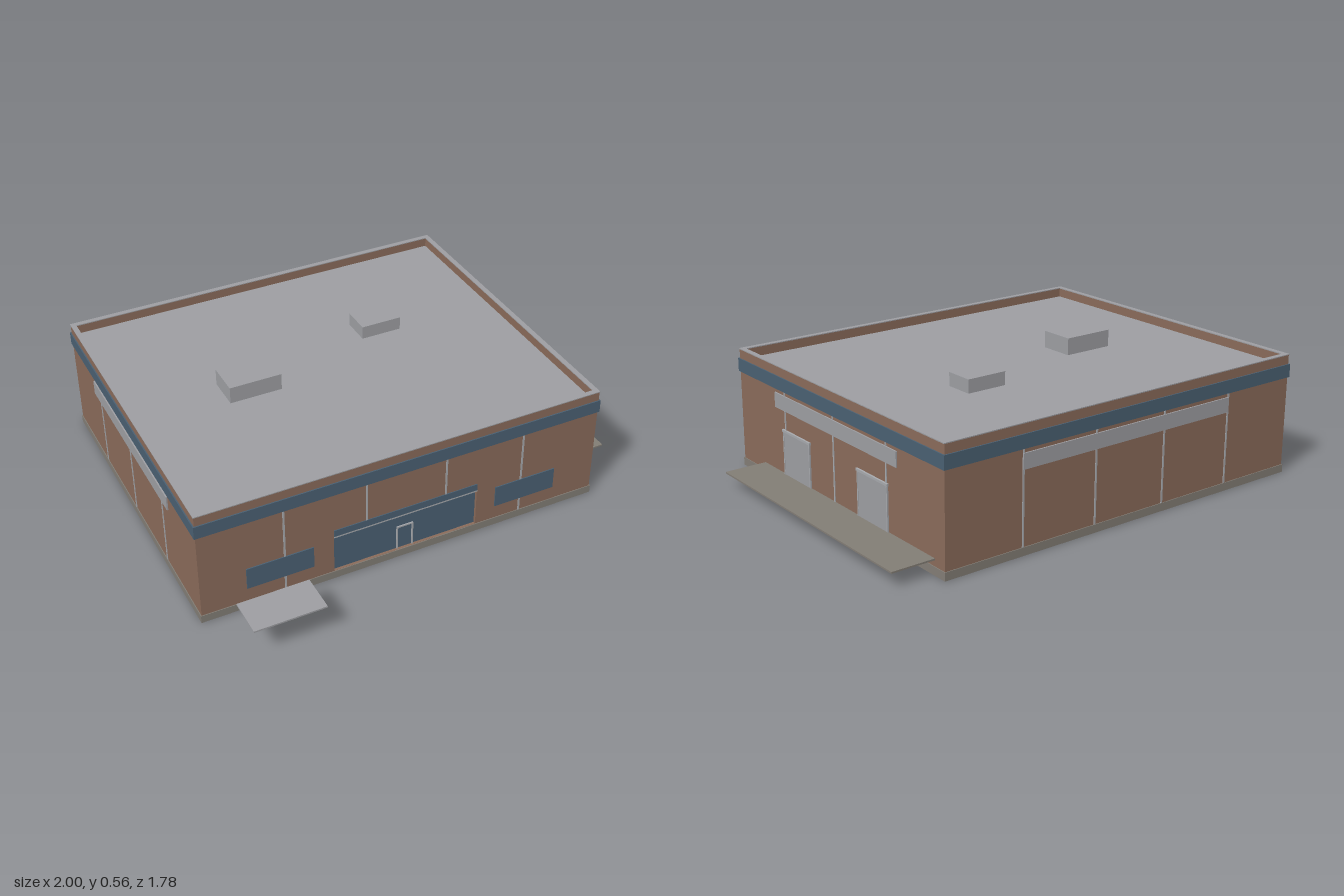
import * as THREE from 'three';

const mat = (name, color) => {
  const m = new THREE.MeshStandardMaterial({ color });
  m.name = name;
  return m;
};

export function createModel() {
  const brick = mat('brick brown', 0x8a6b5a);
  const blue = mat('slate blue', 0x4a6072);
  const grey = mat('light grey', 0x9d9ea2);
  const trim = mat('pale trim', 0xa6a8ac);
  const concrete = mat('concrete', 0x827d75);

  const model = new THREE.Group();
  model.name = 'warehouseStore';

  // Box given by its limits on each axis
  const box = (name, m, x0, x1, y0, y1, z0, z1) => {
    const mesh = new THREE.Mesh(new THREE.BoxGeometry(x1 - x0, y1 - y0, z1 - z0), m);
    mesh.position.set((x0 + x1) / 2, (y0 + y1) / 2, (z0 + z1) / 2);
    mesh.name = name;
    model.add(mesh);
    return mesh;
  };

  // Footprint and heights
  const L = -0.995, R = 0.808, B = -0.887, F = 0.597, T = 0.02, H = 0.53;

  // Rectangular band running round the outside, from "inner" inside to "outer" outside the wall face
  const ring = (name, m, y0, y1, inner, outer) => {
    const rect = (C, d) => new C()
      .moveTo(L - d, -F - d).lineTo(R + d, -F - d)
      .lineTo(R + d, -B + d).lineTo(L - d, -B + d).closePath();
    const shape = rect(THREE.Shape, outer);
    shape.holes.push(rect(THREE.Path, -inner));
    const g = new THREE.ExtrudeGeometry(shape, { depth: y1 - y0, bevelEnabled: false });
    g.rotateX(-Math.PI / 2);
    const mesh = new THREE.Mesh(g, m);
    mesh.position.y = y0;
    mesh.name = name;
    model.add(mesh);
  };

  // Walls: open underneath, the front one with a storefront opening
  const door = { x0: -0.42, x1: 0.236, y0: 0.036, y1: 0.25 };
  const front = new THREE.Shape()
    .moveTo(L, 0).lineTo(R, 0).lineTo(R, H).lineTo(L, H).closePath();
  front.holes.push(new THREE.Path()
    .moveTo(door.x0, door.y0).lineTo(door.x0, door.y1)
    .lineTo(door.x1, door.y1).lineTo(door.x1, door.y0).closePath());
  const frontWall = new THREE.Mesh(
    new THREE.ExtrudeGeometry(front, { depth: T, bevelEnabled: false }), brick);
  frontWall.position.z = F - T;
  frontWall.name = 'frontWall';
  model.add(frontWall);
  box('backWall', brick, L, R, 0, H, B, B + T);
  box('leftWall', brick, R - T, R, 0, H, B + T, F - T);
  box('rightWall', brick, L, L + T, 0, H, B + T, F - T);

  // Bands round the building
  ring('plinth', concrete, 0.001, 0.036, -0.0005, 0.004);
  ring('blueBand', blue, 0.432, 0.49, -0.0005, 0.006);
  ring('parapetCap', grey, H, H + 0.004, T + 0.001, 0.002);

  // Roof and rooftop units
  box('roof', grey, L + T, R - T, 0.48, 0.49, B + T, F - T);
  box('largeRoofUnit', grey, -0.57, -0.337, 0.49, 0.565, -0.225, -0.07);
  box('smallRoofUnit', grey, 0.14, 0.326, 0.49, 0.549, -0.39, -0.262);

  // Thin vertical joints dividing each wall into bays
  const w = 0.004, d = 0.003;
  for (let i = 1; i <= 4; i++) {
    const x = L + (R - L) * i / 5;
    const overDoor = x > door.x0 && x < door.x1;
    box('frontJoint', trim, x - w, x + w, overDoor ? door.y1 : 0.036, 0.432, F, F + d);
    box('backJoint', trim, x - w, x + w, 0.036, 0.432, B - d, B);
  }
  for (let i = 1; i <= 3; i++) {
    const z = B + (F - B) * i / 4;
    box('leftJoint', trim, R, R + d, 0.036, 0.432, z - w, z + w);
    box('rightJoint', trim, L - d, L, 0.036, 0.432, z - w, z + w);
  }

  // Blank panels high on the sides and back
  const s0 = B + (F - B) * 0.2, s1 = B + (F - B) * 0.8;
  box('leftPanel', grey, R, R + 0.006, 0.35, 0.415, s0, s1);
  box('rightPanel', grey, L - 0.006, L, 0.35, 0.415, s0, s1);
  box('backPanel', grey, -0.635, 0.45, 0.35, 0.415, B - 0.006, B);

  // Storefront: recessed glass, header, rail and door outline
  box('storefrontGlass', blue, door.x0, door.x1, door.y0, door.y1, F - 0.018, F - 0.012);
  box('storefrontHeader', blue, door.x0, door.x1, 0.219, door.y1, F - 0.012, F + 0.004);
  box('storefrontRail', trim, door.x0, door.x1, 0.212, 0.219, F - 0.012, F + 0.004);
  for (const x of [-0.13, -0.06])
    box('doorJamb', trim, x - 0.003, x + 0.003, 0.036, 0.15, F - 0.012, F - 0.006);
  box('doorHead', trim, -0.133, -0.057, 0.145, 0.151, F - 0.012, F - 0.006);

  // Front windows
  for (const [x0, x1] of [[-0.8, -0.51], [0.325, 0.612]])
    box('frontWindow', blue, x0, x1, 0.1, 0.2, F, F + 0.005);

  // Loading doors with lintels and jambs on the left side
  for (const zc of [0.138, -0.423]) {
    box('loadingDoor', grey, R, R + 0.005, 0.062, 0.257, zc - 0.1, zc + 0.1);
    box('loadingDoorLintel', trim, R, R + 0.009, 0.257, 0.267, zc - 0.108, zc + 0.108);
    for (const s of [-1, 1])
      box('loadingDoorJamb', trim, R, R + 0.007, 0.062, 0.257, zc + s * 0.101 - 0.003, zc + s * 0.101 + 0.003);
  }

  // Loading apron and the small slab ahead of the front
  box('loadingApron', concrete, R, 1, 0.061, 0.068, -0.825, 0.414);
  box('frontSlab', grey, -0.893, -0.587, 0.152, 0.159, 0.72, 0.887);

  return model;
}
